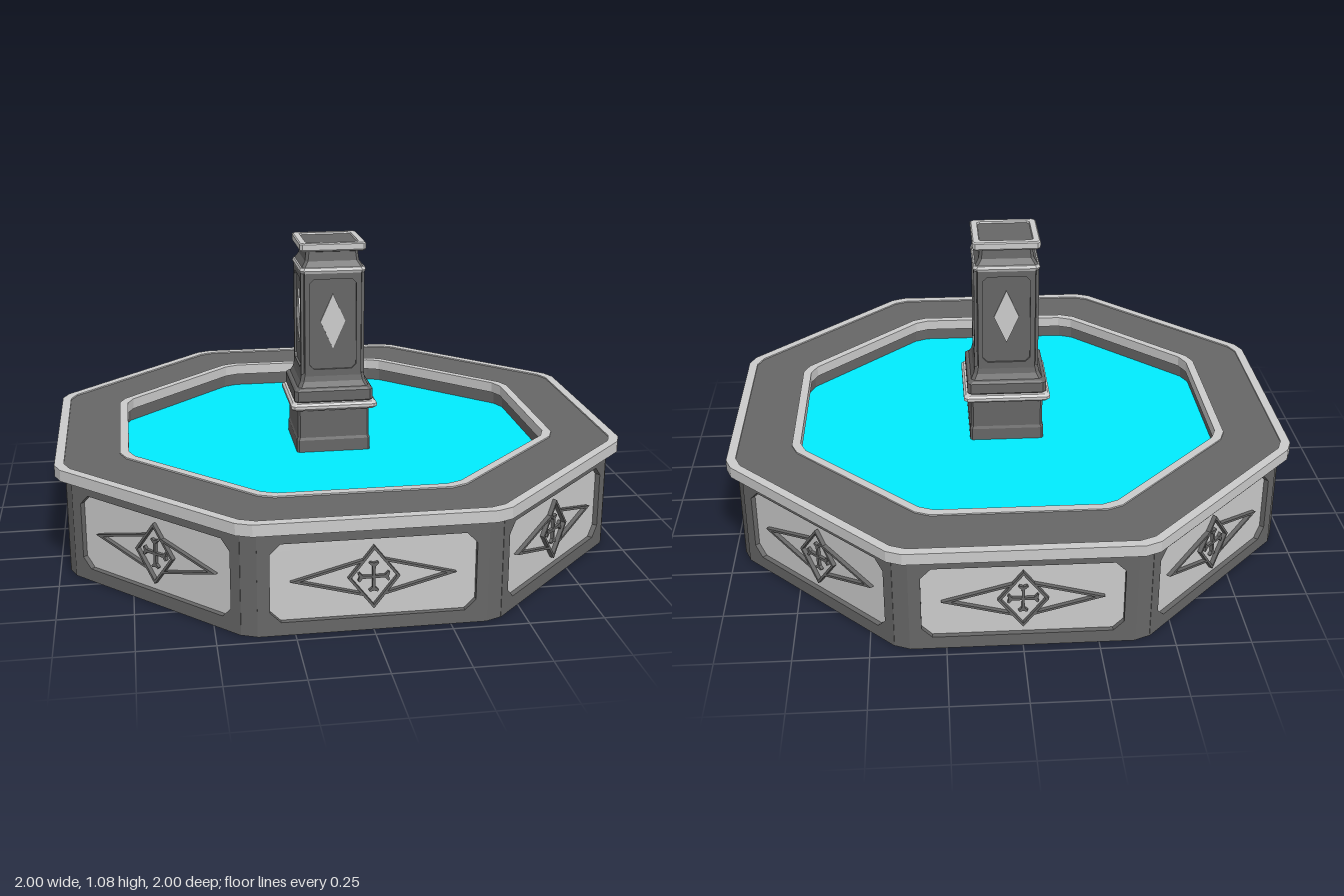
import * as THREE from 'three';

const mat = (color) => new THREE.MeshStandardMaterial({ color, flatShading: true, side: THREE.DoubleSide });
const light = mat(0xcccccc), dark = mat(0x666666), waterMat = mat(0x00ecff);

function add(parent, name, geometry, material, x = 0, y = 0, z = 0) {
  const mesh = new THREE.Mesh(geometry, material);
  mesh.name = name;
  mesh.position.set(x, y, z);
  parent.add(mesh);
  return mesh;
}

// Outline of a regular n-gon with cut corners, a = distance from centre to side
function outline(n, a, cut) {
  const half = a * Math.tan(Math.PI / n), t = half - Math.min(cut, half / 2), pts = [];
  for (let k = 0; k < n; k++) {
    const w = (k * 2 * Math.PI) / n, s = Math.sin(w), c = Math.cos(w);
    for (const u of [-t, t]) pts.push([a * s + u * c, a * c - u * s]);
  }
  return pts;
}

// Sweeps a profile of [distance, height] points around the n-gon
function loft(n, profile, cut) {
  const rings = profile.map(([a, y]) => outline(n, a, cut).map(([x, z]) => [x, y, z]));
  const pos = [], m = 2 * n;
  for (let j = 0; j < rings.length - 1; j++) {
    for (let i = 0; i < m; i++) {
      const k = (i + 1) % m;
      const a = rings[j][i], b = rings[j][k], c = rings[j + 1][k], d = rings[j + 1][i];
      pos.push(...a, ...b, ...c, ...a, ...c, ...d);
    }
  }
  const g = new THREE.BufferGeometry();
  g.setAttribute('position', new THREE.Float32BufferAttribute(pos, 3));
  g.computeVertexNormals();
  return g;
}

const poly = (pts) => pts.map(([x, y]) => new THREE.Vector2(x, y));
const rect = (w, h) => poly([[-w, -h], [w, -h], [w, h], [-w, h]]);
const rhombus = (w, h) => poly([[-w, 0], [0, -h], [w, 0], [0, h]]);
const cutRect = (w, h, c) => poly([[-w + c, -h], [w - c, -h], [w, -h + c], [w, h - c],
  [w - c, h], [-w + c, h], [-w, h - c], [-w, -h + c]]);

function plate(pts, depth, hole) {
  const shape = new THREE.Shape(pts);
  if (hole) shape.holes.push(new THREE.Path(hole));
  return new THREE.ExtrudeGeometry(shape, { depth, bevelEnabled: false });
}

// One basin side: frame, inset panel and raised ornament
function basinSide() {
  const side = new THREE.Group();
  side.name = 'basinSide';
  const y = 0.178, z = 0.946;
  const panel = cutRect(0.33, 0.133, 0.035);
  add(side, 'sideFrame', plate(rect(0.37, 0.178), 0.025, panel), dark, 0, y, 0.94);
  add(side, 'sidePanel', plate(panel, 0.007), light, 0, y, 0.94);
  add(side, 'ornamentDiamond', plate(rhombus(0.083, 0.107), 0.016, rhombus(0.073, 0.094)), dark, 0, y, z);
  const wing = poly([[0.265, 0], [0.036, 0.061], [0.043, 0.051], [0.235, 0], [0.043, -0.051], [0.036, -0.061]]);
  for (let k = 0; k < 2; k++) add(side, 'ornamentWing', plate(wing, 0.016), dark, 0, y, z).rotation.z = k * Math.PI;
  // Flared cross
  const arm = poly([[-0.004, 0], [0.004, 0], [0.005, 0.036], [0.016, 0.046], [0.012, 0.051],
    [0, 0.047], [-0.012, 0.051], [-0.016, 0.046], [-0.005, 0.036]]);
  for (let k = 0; k < 4; k++) add(side, 'crossArm', plate(arm, 0.012), dark, 0, y, z).rotation.z = (k * Math.PI) / 2;
  return side;
}

function basin() {
  const g = new THREE.Group();
  g.name = 'basin';
  for (let k = 0; k < 8; k++) {
    const side = basinSide();
    side.rotation.y = (k * Math.PI) / 4;
    g.add(side);
    // Cut corner post between two sides
    const post = new THREE.Group();
    post.name = 'cornerPost';
    post.rotation.y = ((k + 0.5) * Math.PI) / 4;
    add(post, 'postBlock', plate(rect(0.03, 0.178), 0.02), dark, 0, 0.178, 1.012);
    g.add(post);
  }
  // Rim slab with light edge trims
  add(g, 'rimSlab', loft(8, [[0.77, 0.355], [0.975, 0.355], [0.975, 0.39], [0.77, 0.39]], 0.03), dark);
  add(g, 'outerTrim', loft(8, [[0.965, 0.355], [1, 0.355], [1, 0.395], [0.968, 0.395], [0.968, 0.389]], 0.03), light);
  add(g, 'innerTrim', loft(8, [[0.778, 0.389], [0.778, 0.395], [0.748, 0.395], [0.748, 0.355], [0.765, 0.355]], 0.03), light);
  // Hanging tub that holds the water
  add(g, 'tubLining', loft(8, [[0.76, 0.358], [0.76, 0.298]], 0.03), dark);
  add(g, 'water', loft(8, [[0.765, 0.305], [0, 0.305]], 0.03), waterMat);
  add(g, 'tub', loft(8, [[0, 0.2], [0.79, 0.2], [0.79, 0.358]], 0.02), dark);
  return g;
}

// Thin rails under the tub
function supports() {
  const g = new THREE.Group();
  g.name = 'supports';
  for (const s of [-0.32, 0.32]) {
    add(g, 'crossRail', new THREE.BoxGeometry(1.58, 0.018, 0.012), light, 0, 0.195, s);
    add(g, 'lengthRail', new THREE.BoxGeometry(0.012, 0.018, 1.58), light, s, 0.195, 0);
  }
  for (const turn of [1, -1]) {
    const pair = new THREE.Group();
    pair.name = 'diagonalRails';
    pair.rotation.y = (turn * Math.PI) / 4;
    for (const s of [-1, 1]) {
      add(pair, 'diagonalRail', new THREE.BoxGeometry(1.6, 0.016, 0.008), light, 0, 0.195, s * 0.022);
      add(pair, 'railEnd', new THREE.BoxGeometry(0.06, 0.04, 0.06), light, s * 0.82, 0.195, 0);
    }
    g.add(pair);
  }
  return g;
}

function pillar() {
  const g = new THREE.Group();
  g.name = 'pillar';
  add(g, 'pillarBase', loft(4, [[0.136, 0.298], [0.136, 0.35], [0.132, 0.36], [0.132, 0.47]], 0.008), dark);
  add(g, 'baseRing', loft(4, [[0.13, 0.466], [0.15, 0.469], [0.158, 0.477], [0.158, 0.488],
    [0.15, 0.496], [0.135, 0.498]], 0.012), light);
  add(g, 'baseMoulding', loft(4, [[0.138, 0.494], [0.144, 0.502], [0.144, 0.54], [0.138, 0.547],
    [0.13, 0.55], [0.12, 0.57], [0.115, 0.595]], 0.012), dark);
  add(g, 'shaft', loft(4, [[0.116, 0.59], [0.108, 0.6], [0.108, 0.97]], 0.012), dark);
  add(g, 'shaftRing', loft(4, [[0.108, 0.966], [0.116, 0.97], [0.12, 0.98], [0.116, 0.99], [0.1, 0.994]], 0.014), light);
  add(g, 'neck', loft(4, [[0.112, 0.99], [0.098, 1.012], [0.094, 1.045], [0.102, 1.053]], 0.01), dark);
  add(g, 'capTrim', loft(4, [[0.09, 1.05], [0.115, 1.05], [0.12, 1.056], [0.12, 1.076], [0.116, 1.08],
    [0.096, 1.08], [0.094, 1.074]], 0.01), light);
  add(g, 'capTop', loft(4, [[0.096, 1.074], [0, 1.074]], 0.01), dark);
  // Framed faces with a light diamond
  for (let k = 0; k < 4; k++) {
    const face = new THREE.Group();
    face.name = 'shaftFace';
    face.rotation.y = (k * Math.PI) / 2;
    add(face, 'faceFrame', plate(rect(0.103, 0.192), 0.01, cutRect(0.085, 0.167, 0.016)), dark, 0, 0.782, 0.106);
    add(face, 'faceDiamond', plate(rhombus(0.045, 0.102), 0.006), light, 0, 0.793, 0.107);
    g.add(face);
  }
  return g;
}

export function createModel() {
  const model = new THREE.Group();
  model.name = 'fountain';
  model.add(basin(), supports(), pillar());
  return model;
}
